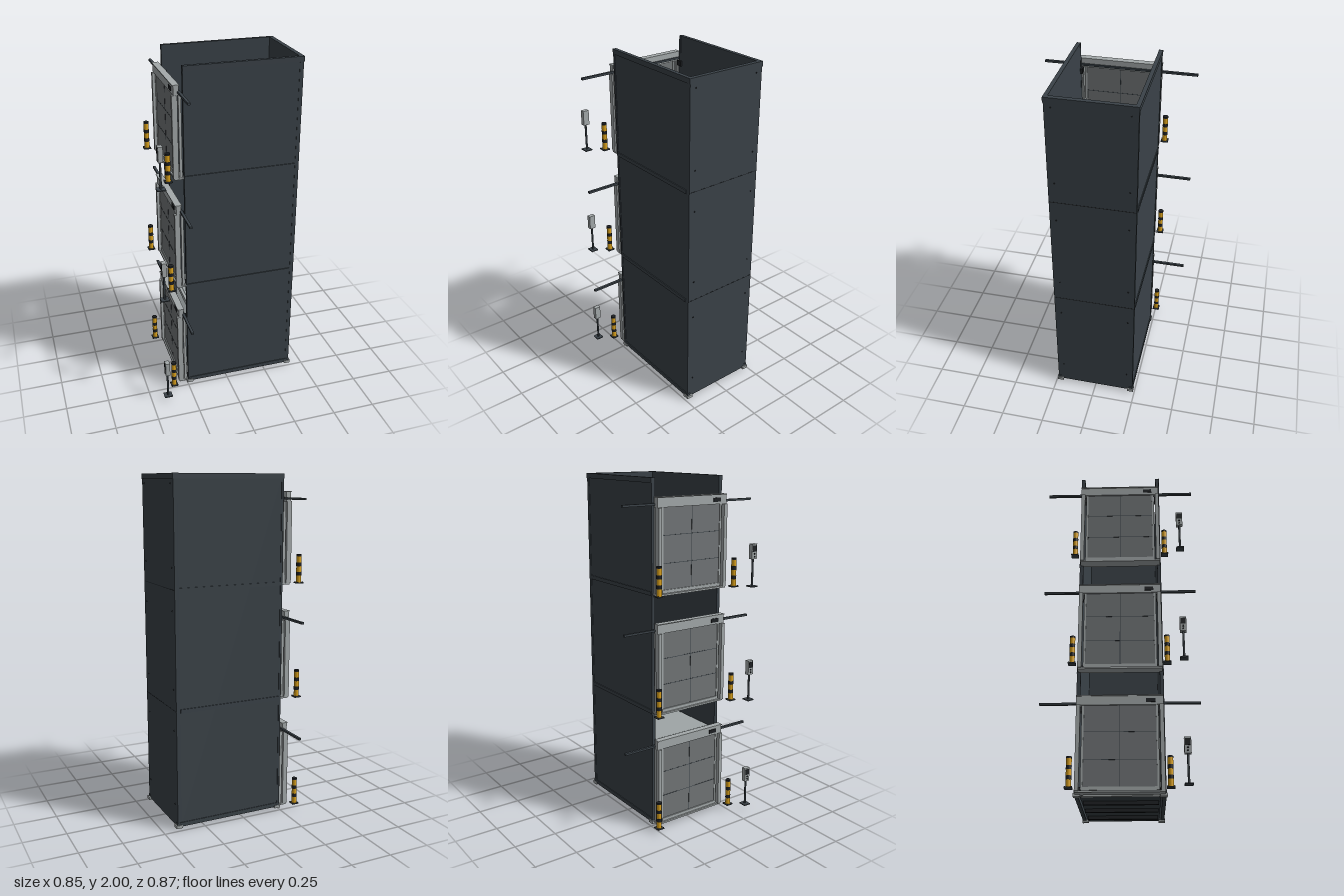
import * as THREE from 'three';

const mat = (color, extra = {}) => new THREE.MeshStandardMaterial({ color, ...extra });
const DARK = mat(0x3a4248), BLACK = mat(0x1d2023), LIGHT = mat(0xa4aaab), PANEL = mat(0x727678);
const YELLOW = mat(0xe0a51c), CAR = mat(0x9fa6a7);
const PITCH = 0.678, BASE = 0.03;

// box given by its min and max on each axis
function box(parent, name, m, x0, x1, y0, y1, z0, z1) {
  const mesh = new THREE.Mesh(new THREE.BoxGeometry(x1 - x0, y1 - y0, z1 - z0), m);
  mesh.position.set((x0 + x1) / 2, (y0 + y1) / 2, (z0 + z1) / 2);
  mesh.name = name;
  parent.add(mesh);
  return mesh;
}

function cylinder(parent, name, m, r, x, y0, y1, z) {
  const mesh = new THREE.Mesh(new THREE.CylinderGeometry(r, r, y1 - y0, 24), m);
  mesh.position.set(x, (y0 + y1) / 2, z);
  mesh.name = name;
  parent.add(mesh);
  return mesh;
}

function group(parent, name) {
  const g = new THREE.Group();
  g.name = name;
  parent.add(g);
  return g;
}

// three-sided shaft, open towards -x
function buildShaft(parent) {
  const g = group(parent, 'shaft');
  box(g, 'backWall', DARK, 0.393, 0.415, 0.02, 2, -0.237, 0.237);
  for (const s of [-1, 1]) {
    const z = (a, b) => (s > 0 ? [a, b] : [-b, -a]);
    box(g, 'sideWall', DARK, -0.243, 0.393, 0.02, 2, ...z(0.218, 0.235));
    box(g, 'frontEdgePost', DARK, -0.248, -0.235, 0.02, 2, ...z(0.217, 0.238));
    box(g, 'topBand', DARK, -0.248, 0.418, 1.972, 2, ...z(0.218, 0.24));
    box(g, 'bottomBand', DARK, -0.248, 0.418, 0.02, 0.045, ...z(0.218, 0.239));
    for (const i of [1, 2]) {
      const y = BASE - 0.011 + i * PITCH;
      box(g, 'floorBand', DARK, -0.243, 0.39, y, y + 0.022, ...z(0.218, 0.24));
    }
    // corner base plates
    for (const [a, b] of [[-0.255, -0.217], [0.387, 0.425]])
      box(g, 'cornerPlate', LIGHT, a, b, 0.012, 0.03, ...z(0.205, 0.243));
    // bolts on the back wall
    for (let i = 0; i < 3; i++) for (const h of [0.12, 0.56]) {
      const bolt = cylinder(g, 'bolt', BLACK, 0.004, 0.416, 0, 0.004, s * 0.2);
      bolt.rotation.z = Math.PI / 2;
      bolt.position.y = BASE + i * PITCH + h;
    }
  }
  box(g, 'backTopBand', DARK, 0.393, 0.418, 1.972, 2, -0.24, 0.24);
  for (const i of [1, 2])
    box(g, 'backSeam', BLACK, 0.4, 0.4158, i * PITCH + 0.028, i * PITCH + 0.031, -0.235, 0.235);
}

// lift car parked at the lowest level
function buildCar(parent) {
  const g = group(parent, 'liftCar');
  box(g, 'carFloor', DARK, -0.2, 0.383, 0.02, 0.035, -0.21, 0.21);
  box(g, 'carRoof', CAR, -0.2, 0.383, 0.5, 0.515, -0.212, 0.21);
  box(g, 'carBackWall', CAR, 0.376, 0.383, 0.035, 0.5, -0.21, 0.21);
  for (const s of [-1, 1])
    box(g, 'carSideWall', CAR, -0.2, 0.376, 0.035, 0.5, s * 0.207 - 0.003, s * 0.207 + 0.003);
  box(g, 'carSill', LIGHT, -0.216, -0.2, 0.02, 0.035, -0.203, 0.203);
  box(g, 'carLintel', LIGHT, -0.216, -0.2, 0.48, 0.51, -0.203, 0.203);
  for (const x of [-0.105, 0.08, 0.265])
    box(g, 'underRib', BLACK, x - 0.009, x + 0.009, 0, 0.02, -0.2, 0.2);
}

// landing gate with its header and sliding rail
function buildGate(parent) {
  const g = group(parent, 'landingGate');
  box(g, 'sill', LIGHT, -0.3, -0.237, -0.008, 0.002, -0.232, 0.232);
  box(g, 'header', LIGHT, -0.296, -0.268, 0.462, 0.512, -0.235, 0.232);
  box(g, 'headerCap', LIGHT, -0.302, -0.264, 0.512, 0.517, -0.235, 0.232);
  box(g, 'slidingRail', DARK, -0.275, -0.26, 0.472, 0.484, -0.435, 0.432);
  box(g, 'headerSwitch', BLACK, -0.3, -0.296, 0.475, 0.497, 0.14, 0.19);
  for (const s of [-1, 1]) {
    box(g, 'gatePost', LIGHT, -0.306, -0.276, 0, 0.462, s * 0.222 - 0.011, s * 0.222 + 0.011);
    box(g, 'innerPost', LIGHT, -0.27, -0.255, 0, 0.462, s * 0.222 - 0.006, s * 0.222 + 0.006);
    box(g, 'gateStile', LIGHT, -0.291, -0.277, 0.008, 0.462, s * 0.198 - 0.006, s * 0.198 + 0.006);
    box(g, 'wallBracket', BLACK, -0.255, -0.222, 0.44, 0.47, s * 0.214 - 0.008, s * 0.214 + 0.008);
    box(g, 'lowerBracket', BLACK, -0.255, -0.222, 0.01, 0.03, s * 0.214 - 0.008, s * 0.214 + 0.008);
  }
  // panel divided into two columns and three rows
  box(g, 'gatePanel', PANEL, -0.287, -0.28, 0.012, 0.462, -0.2, 0.2);
  box(g, 'bottomRail', LIGHT, -0.293, -0.275, 0.004, 0.022, -0.2, 0.2);
  box(g, 'columnLine', DARK, -0.288, -0.279, 0.022, 0.462, -0.0015, 0.0015);
  for (const y of [0.165, 0.315])
    box(g, 'rowLine', DARK, -0.288, -0.279, y - 0.0015, y + 0.0015, -0.192, 0.192);
  return g;
}

function buildBollard(parent, z) {
  const g = group(parent, 'bollard'), x = -0.343;
  box(g, 'bollardBase', DARK, x - 0.021, x + 0.021, 0, 0.006, z - 0.021, z + 0.021);
  cylinder(g, 'bollardPost', YELLOW, 0.0145, x, 0.006, 0.158, z);
  for (const [a, b] of [[0.045, 0.066], [0.098, 0.119], [0.155, 0.165]])
    cylinder(g, 'bollardBand', BLACK, 0.0152, x, a, b, z);
  for (const i of [-1, 1]) for (const j of [-1, 1])
    cylinder(g, 'baseBolt', BLACK, 0.003, x + i * 0.017, 0.006, 0.009, z + j * 0.017);
}

function buildCallPost(parent) {
  const g = group(parent, 'callPost'), x = -0.403, z = 0.345;
  box(g, 'callPostBase', DARK, x - 0.024, x + 0.024, 0, 0.006, z - 0.022, z + 0.022);
  cylinder(g, 'callPole', DARK, 0.006, x, 0.006, 0.16, z);
  box(g, 'callBox', LIGHT, x - 0.013, x + 0.013, 0.158, 0.243, z - 0.018, z + 0.018);
  box(g, 'callScreen', BLACK, x - 0.015, x - 0.013, 0.2, 0.235, z - 0.014, z + 0.014);
  for (const y of [0.172, 0.188]) {
    const b = cylinder(g, 'callButton', BLACK, 0.005, x - 0.014, 0, 0.005, z);
    b.rotation.z = Math.PI / 2;
    b.position.y = y;
  }
}

export function createModel() {
  const root = new THREE.Group();
  root.name = 'goodsLift';
  buildShaft(root);
  buildCar(root);
  // the same landing equipment on each of three levels
  for (let i = 0; i < 3; i++) {
    const landing = group(root, 'landing' + (i + 1));
    landing.position.y = BASE + i * PITCH;
    buildGate(landing);
    buildBollard(landing, 0.258);
    buildBollard(landing, -0.258);
    buildCallPost(landing);
  }
  return root;
}
